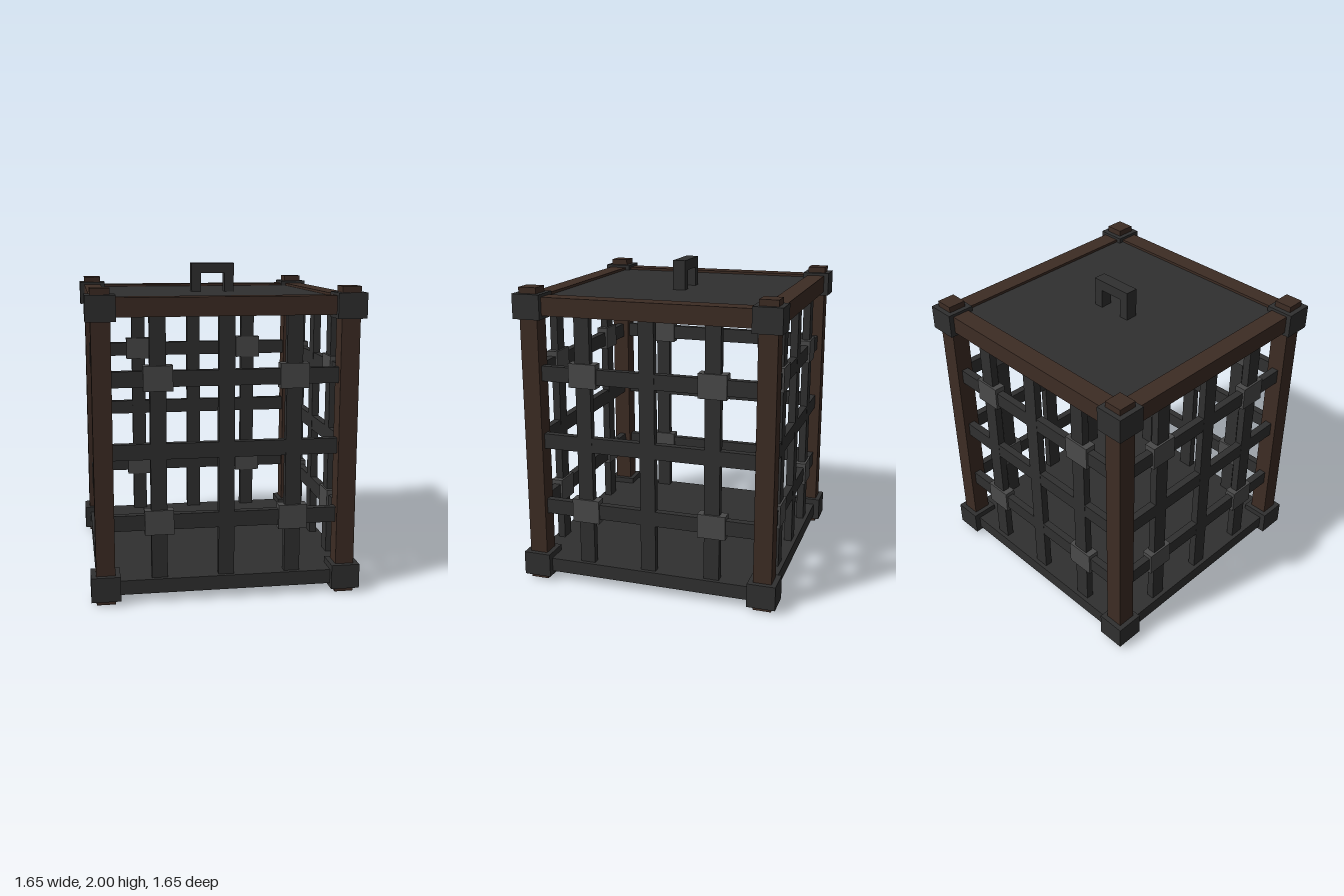
import * as THREE from 'three';

export function createModel() {
  const cage = new THREE.Group();
  cage.name = 'cage';
  const mat = (color) => new THREE.MeshStandardMaterial({ color, flatShading: true });
  const wood = mat(0x3d2c24), iron = mat(0x303030), steel = mat(0x4a4a4a);

  // Box given by its size and centre
  function box(parent, name, material, size, pos) {
    const mesh = new THREE.Mesh(new THREE.BoxGeometry(...size), material);
    mesh.position.set(...pos);
    mesh.name = name;
    parent.add(mesh);
    return mesh;
  }

  const C = 0.735; // distance of posts and grilles from the centre
  const top = 1.775;

  // Corner posts with iron brackets at both ends
  for (const sx of [-1, 1]) for (const sz of [-1, 1]) {
    box(cage, 'cornerPost', wood, [0.114, 1.885, 0.114], [sx * C, 0.9425, sz * C]);
    box(cage, 'lowerBracket', iron, [0.176, 0.152, 0.176], [sx * C, 0.105, sz * C]);
    box(cage, 'upperBracket', iron, [0.176, 0.152, 0.176], [sx * C, top - 0.003, sz * C]);
  }

  // Floor and roof plates
  box(cage, 'floor', iron, [1.57, 0.088, 1.57], [0, 0.099, 0]);
  box(cage, 'roof', iron, [1.38, 0.07, 1.38], [0, 1.78, 0]);

  // Four equal sides: top rail, bars and crossing clamps
  for (let i = 0; i < 4; i++) {
    const side = new THREE.Group();
    side.name = 'grille';
    side.rotation.y = i * Math.PI / 2;
    box(side, 'topRail', wood, [1.37, 0.112, 0.114], [0, top, C]);
    for (const x of [-0.408, 0, 0.408])
      box(side, 'verticalBar', iron, [0.096, 1.6, 0.048], [x, 0.935, C]);
    for (const y of [0.49, 0.923, 1.356])
      box(side, 'horizontalBar', iron, [1.37, 0.095, 0.046], [0, y, C]);
    for (const x of [-0.408, 0.408]) for (const y of [0.49, 1.36])
      box(side, 'clamp', steel, [0.176, 0.15, 0.072], [x, y, C]);
    cage.add(side);
  }

  // Carrying handle on the roof
  const handle = new THREE.Group();
  handle.name = 'handle';
  handle.position.set(0.029, 0, -0.01);
  for (const s of [-1, 1])
    box(handle, 'handleLeg', iron, [0.06, 0.15, 0.08], [s * 0.109, 1.87, 0]);
  box(handle, 'handleGrip', iron, [0.278, 0.065, 0.08], [0, 1.9675, 0]);
  cage.add(handle);

  return cage;
}
